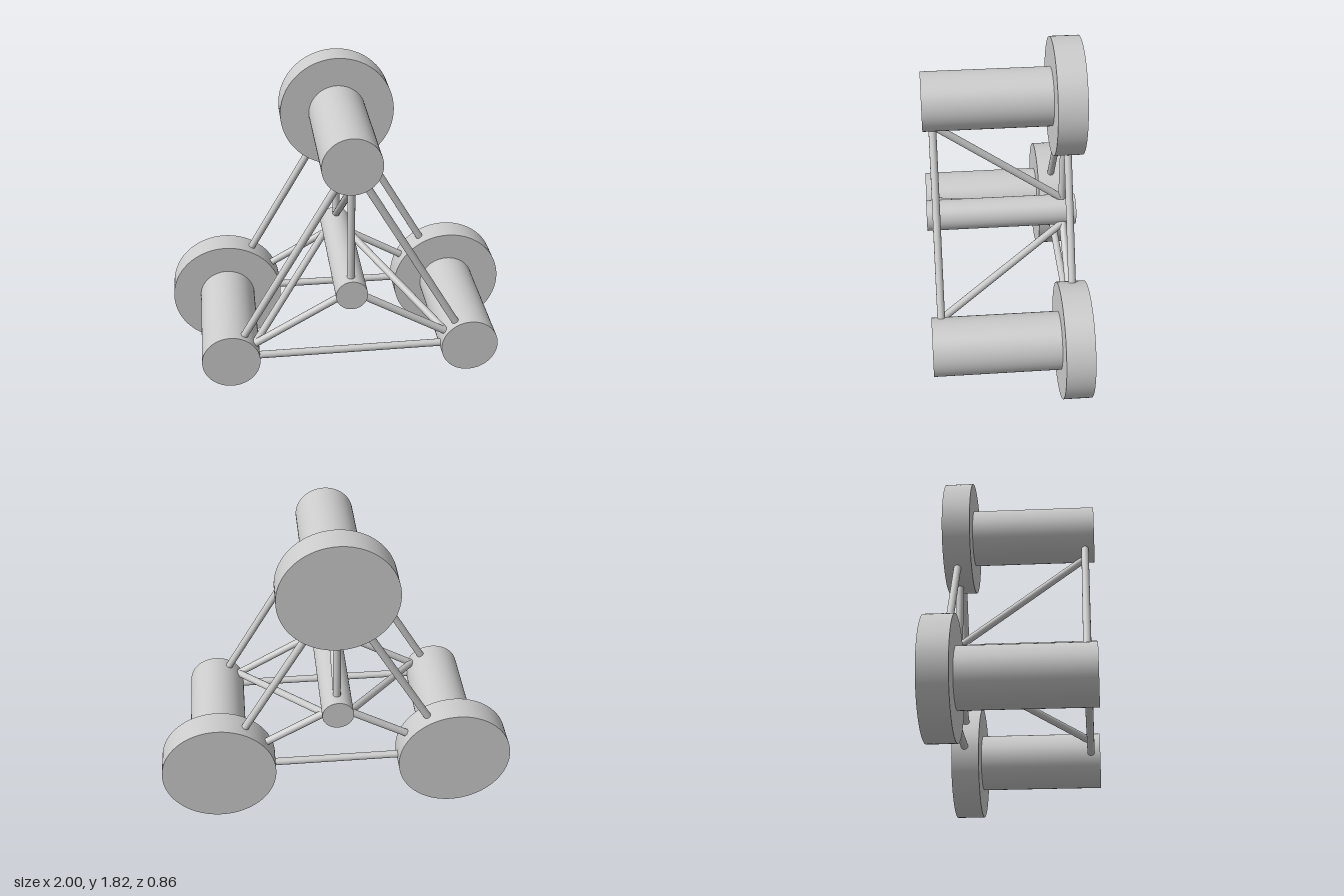
import * as THREE from 'three';

const PLATE_R = 0.3235, COLUMN_R = 0.162, HUB_R = 0.088, BRACE_R = 0.021;
const FRONT = 0.43, STEP = -0.272, BACK = -0.43;   // z limits of columns and plates
const FRONT_BRACE = 0.376, BACK_BRACE = -0.354;    // z of the two bracing planes

export function createModel() {
  const model = new THREE.Group();
  const material = new THREE.MeshStandardMaterial({ color: 0xcccccc });

  // Closed cylinder between two points
  const rod = (name, a, b, radius, sides) => {
    const mesh = new THREE.Mesh(new THREE.CylinderGeometry(radius, radius, a.distanceTo(b), sides), material);
    mesh.name = name;
    mesh.position.copy(a).lerp(b, 0.5);
    mesh.quaternion.setFromUnitVectors(new THREE.Vector3(0, 1, 0), b.clone().sub(a).normalize());
    model.add(mesh);
  };
  const at = (p, z) => new THREE.Vector3(p.x, p.y, z);

  // Brace whose ends stop at the surfaces of two round members
  const brace = (name, p, rp, zp, q, rq, zq) => {
    const dir = q.clone().sub(p).normalize();
    const a = p.clone().addScaledVector(dir, rp - 0.005);
    const b = q.clone().addScaledVector(dir, -rq + 0.005);
    rod(name, at(a, zp), at(b, zq), BRACE_R, 20);
  };

  // Equilateral layout around the central column
  const ring = 1.353 / Math.sqrt(3);
  const hub = new THREE.Vector2(0, PLATE_R + ring / 2);
  const corners = [0, 1, 2].map((i) => {
    const t = Math.PI / 2 + i * Math.PI * 2 / 3;
    return new THREE.Vector2(Math.cos(t) * ring, hub.y + Math.sin(t) * ring);
  });

  rod('centralColumn', at(hub, BACK), at(hub, FRONT), HUB_R, 48);

  corners.forEach((c, i) => {
    const next = corners[(i + 1) % 3];
    // Outer column and its wide base plate
    rod('outerColumn', at(c, STEP), at(c, FRONT), COLUMN_R, 64);
    rod('basePlate', at(c, BACK), at(c, STEP), PLATE_R, 96);
    // Triangle sides in both planes
    brace('frontSideBrace', c, COLUMN_R, FRONT_BRACE, next, COLUMN_R, FRONT_BRACE);
    brace('backSideBrace', c, PLATE_R, BACK_BRACE, next, PLATE_R, BACK_BRACE);
    // Spokes to the central column, and the diagonal between planes
    brace('frontSpoke', c, COLUMN_R, FRONT_BRACE, hub, HUB_R, FRONT_BRACE);
    brace('backSpoke', c, PLATE_R, BACK_BRACE, hub, HUB_R, BACK_BRACE);
    brace('diagonalBrace', c, COLUMN_R, FRONT_BRACE, hub, HUB_R, BACK_BRACE);
  });

  return model;
}
